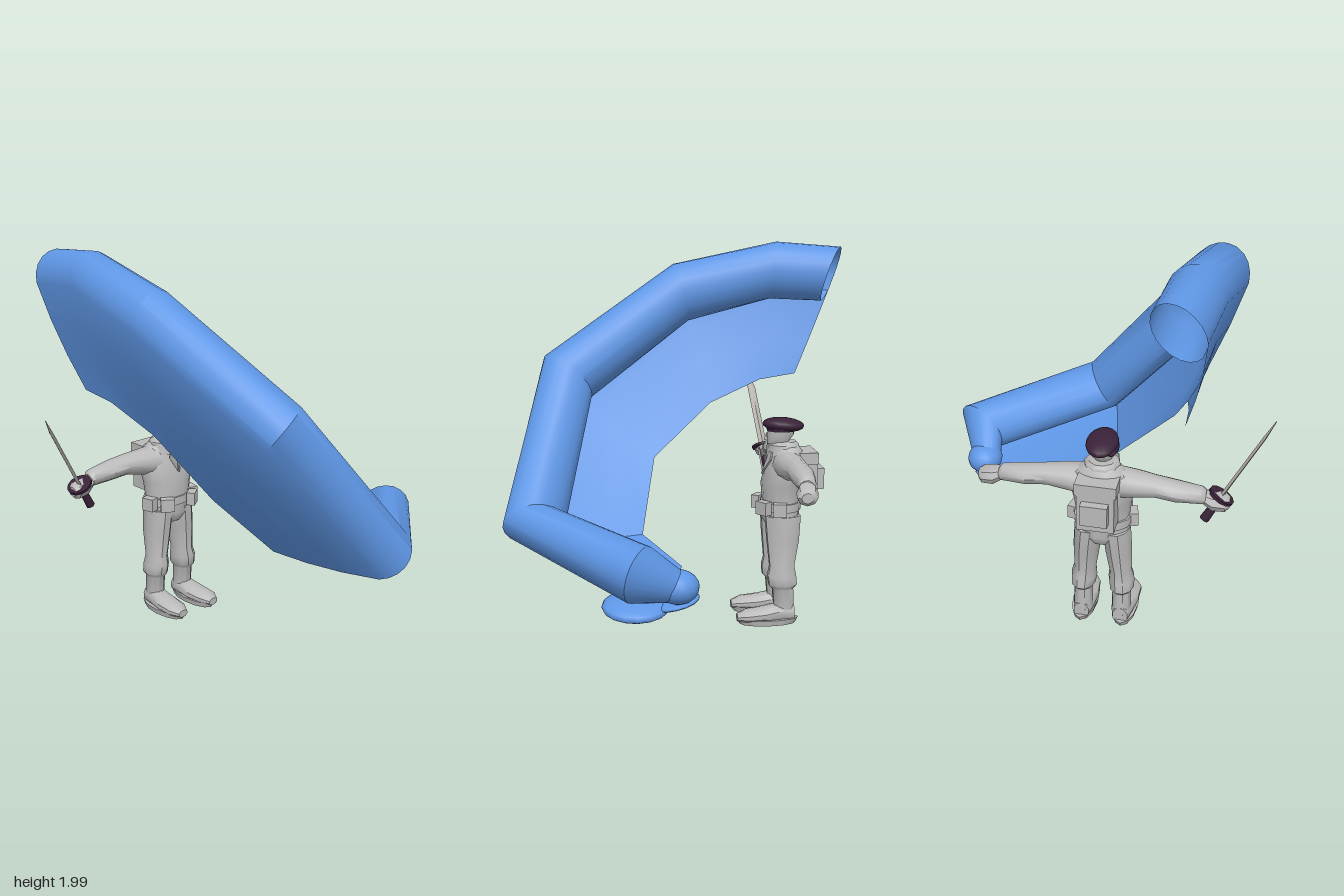
import * as THREE from 'three';
import { toCreasedNormals } from 'three/addons/utils/BufferGeometryUtils.js';

const V = (x, y, z) => new THREE.Vector3(x, y, z);
const mat = (name, color, side = THREE.FrontSide) => {
  const m = new THREE.MeshStandardMaterial({ color, side });
  m.name = name;
  return m;
};

// Surface through rows of points, all rows equally long
function skin(rows, crease = 0.7) {
  const n = rows[0].length, index = [];
  for (let i = 0; i < rows.length - 1; i++) {
    for (let j = 0; j < n - 1; j++) {
      const a = i * n + j, b = a + 1, c = a + n, d = c + 1;
      index.push(a, c, b, b, c, d);
    }
  }
  const geo = new THREE.BufferGeometry().setFromPoints(rows.flat());
  geo.setIndex(index);
  return toCreasedNormals(geo, crease);
}

// Oval rings [x, y, z, radiusA, radiusB] stacked along an axis, closed at both ends
function loft(axis, rings, sides = 10) {
  const list = rings.map((r) => [...r]);
  const k = 'xyz'.indexOf(axis);
  if (list[0][k] > list[list.length - 1][k]) list.reverse();
  const first = list[0], last = list[list.length - 1];
  const closed = [[...first.slice(0, 3), 0, 0], ...list, [...last.slice(0, 3), 0, 0]];
  return skin(closed.map(([x, y, z, p, q]) => Array.from({ length: sides + 1 }, (_, j) => {
    const t = ((j % sides) / sides) * Math.PI * 2, a = p * Math.cos(t), b = q * Math.sin(t);
    if (axis === 'y') return V(x + a, y, z + b);
    if (axis === 'x') return V(x, y + b, z + a);
    return V(x + b, y + a, z);
  })));
}

export function createModel() {
  const model = new THREE.Group();
  const blue = mat('waveBlue', 0x5f97e6, THREE.DoubleSide);
  const grey = mat('uniformGrey', 0xbababa);
  const purple = mat('darkPurple', 0x3a2239);
  const steel = mat('bladeGrey', 0xb4b0aa);

  const add = (parent, name, geo, material, pos = [0, 0, 0], scale = [1, 1, 1]) => {
    const mesh = new THREE.Mesh(geo, material);
    mesh.name = name;
    mesh.position.set(...pos);
    mesh.scale.set(...scale);
    parent.add(mesh);
    return mesh;
  };
  const ball = new THREE.SphereGeometry(1, 16, 10);

  // Curling wave: roll centre, sheet edge, roll radius
  const wave = new THREE.Group();
  wave.name = 'wave';
  model.add(wave);
  const stations = [
    [V(-0.49, 1.82, -0.86), V(-0.51, 1.27, -0.67), 0.155],
    [V(-0.52, 1.84, -0.54), V(-0.5, 1.24, -0.47), 0.155],
    [V(-0.565, 1.72, -0.035), V(-0.46, 1.12, -0.19), 0.16],
    [V(-0.38, 1.285, 0.59), V(-0.36, 0.84, 0.13), 0.165],
    [V(0.15, 0.62, 0.77), V(-0.03, 0.5, 0.22), 0.16],
    [V(0.76, 0.535, 0.29), V(0.28, 0.42, 0.05), 0.155],
    [V(0.69, 0.45, 0.12), V(0.44, 0.38, 0.08), 0.09],
  ];
  const rows = stations.map(([c, edge, r], i) => {
    const prev = stations[Math.max(i - 1, 0)][0];
    const next = stations[Math.min(i + 1, 5)][0];
    const along = i === 0 ? V(-0.35, 0.05, 0.9) : i === 6 ? V(0.6, -0.1, -0.5) : next.clone().sub(prev);
    const out = c.clone().sub(edge).normalize();
    const over = out.clone().cross(along).normalize();
    const row = [];
    for (let j = 0; j <= 18; j++) {
      const t = -Math.PI / 2 + (j / 18) * Math.PI * 1.8;
      row.push(c.clone().addScaledVector(out, r * Math.cos(t)).addScaledVector(over, r * 0.87 * Math.sin(t)));
    }
    // flat sheet from its free edge to the roll
    const sheet = [0, 0.33, 0.66].map((f) => edge.clone().lerp(row[0], f).addScaledVector(over, -0.015 * Math.sin(f * Math.PI)));
    return [...sheet, ...row];
  });
  add(wave, 'waveRoll', skin(rows, 0.6), blue);
  // Folded foam at the low end
  add(wave, 'rollTip', ball, blue, [0.69, 0.45, 0.11], [0.095, 0.08, 0.1]);
  add(wave, 'largeFold', ball, blue, [0.63, 0.345, 0.3], [0.16, 0.045, 0.16]).rotation.z = -0.12;
  add(wave, 'smallFold', ball, blue, [0.4, 0.385, 0.16], [0.12, 0.025, 0.1]).rotation.z = -0.12;
  add(wave, 'thinFold', ball, blue, [0.63, 0.36, 0.12], [0.12, 0.022, 0.12]).rotation.x = 0.2;

  // Figure, built about its own centre line
  const figure = new THREE.Group();
  figure.name = 'figure';
  figure.position.set(-0.11, 0, -0.52);
  model.add(figure);

  add(figure, 'torso', loft('y', [
    [0, 0.5, 0, 0.08, 0.07], [0, 0.55, 0, 0.14, 0.1], [0, 0.63, 0, 0.13, 0.095],
    [0, 0.74, 0, 0.145, 0.105], [0, 0.84, -0.02, 0.165, 0.1], [0, 0.91, -0.03, 0.13, 0.085],
    [0, 0.95, -0.02, 0.07, 0.065]], 14), grey);
  add(figure, 'belt', loft('y', [[0, 0.605, 0, 0.143, 0.106], [0, 0.65, 0, 0.143, 0.106]], 14), grey);
  add(figure, 'collar', loft('y', [
    [0, 0.89, -0.01, 0.1, 0.09], [0, 0.95, -0.01, 0.085, 0.085], [0, 0.965, -0.015, 0.065, 0.065]]), grey);

  // Head, nose and cap
  add(figure, 'head', loft('y', [
    [0, 0.92, 0, 0.035, 0.04], [0, 0.955, 0.02, 0.045, 0.055], [0, 1.0, 0.005, 0.06, 0.072],
    [0, 1.05, 0, 0.06, 0.07]], 12), grey);
  add(figure, 'nose', new THREE.ConeGeometry(0.013, 0.04, 4), grey, [0, 0.995, 0.08]);
  add(figure, 'cap', ball, purple, [0, 1.052, -0.01], [0.077, 0.038, 0.112]).rotation.x = -0.08;
  add(figure, 'capBand', loft('y', [[0, 1.02, 0, 0.064, 0.076], [0, 1.045, 0, 0.068, 0.082]], 14), purple);
  add(figure, 'capFlop', ball, purple, [-0.05, 1.035, -0.02], [0.032, 0.025, 0.07]);

  // Backpack
  add(figure, 'backpack', new THREE.BoxGeometry(0.18, 0.24, 0.1), grey, [0, 0.78, -0.13]);
  add(figure, 'backpackFlap', new THREE.BoxGeometry(0.2, 0.06, 0.12), grey, [0, 0.885, -0.12]);
  add(figure, 'backpackPocket', new THREE.BoxGeometry(0.13, 0.11, 0.05), grey, [0, 0.77, -0.195]);

  const lapelShape = new THREE.Shape([[0, 0], [0.065, 0.09], [0.06, 0.13], [0.03, 0.13]].map(([x, y]) => new THREE.Vector2(x, y)));
  for (const s of [1, -1]) {
    const side = s > 0 ? 'left' : 'right';
    // Trouser leg with bloused knee
    add(figure, side + 'Leg', loft('y', [
      [s * 0.098, 0.05, -0.01, 0.05, 0.055], [s * 0.098, 0.19, 0, 0.048, 0.058],
      [s * 0.098, 0.21, 0, 0.062, 0.078], [s * 0.095, 0.26, 0.005, 0.066, 0.078],
      [s * 0.09, 0.31, 0.005, 0.056, 0.068], [s * 0.08, 0.45, 0, 0.068, 0.088],
      [s * 0.068, 0.58, 0, 0.072, 0.098]]), grey);
    // Boot
    add(figure, side + 'Boot', loft('z', [
      [s * 0.1, 0.055, -0.06, 0.05, 0.04], [s * 0.1, 0.06, 0, 0.055, 0.055],
      [s * 0.105, 0.05, 0.1, 0.042, 0.065], [s * 0.11, 0.045, 0.19, 0.035, 0.06],
      [s * 0.11, 0.038, 0.245, 0.02, 0.03]]), grey);
    add(figure, side + 'Sole', loft('y', [
      [s * 0.105, 0, 0.08, 0.06, 0.15], [s * 0.105, 0.03, 0.08, 0.066, 0.165]], 12), grey);
    // Arm and fist
    add(figure, side + 'Arm', loft('x', [
      [s * 0.08, 0.85, -0.02, 0.085, 0.08], [s * 0.17, 0.855, -0.025, 0.075, 0.068],
      [s * 0.26, 0.86, -0.035, 0.06, 0.055], [s * 0.36, 0.85, -0.04, 0.062, 0.052],
      [s * 0.48, 0.84, -0.035, 0.046, 0.044], [s * 0.5, 0.83, -0.03, 0.036, 0.034]]), grey);
    add(figure, side + 'Hand', loft('x', [
      [s * 0.48, 0.83, -0.03, 0.034, 0.03], [s * 0.53, 0.81, -0.025, 0.055, 0.046],
      [s * 0.59, 0.8, -0.015, 0.052, 0.042], [s * 0.61, 0.8, -0.01, 0.03, 0.026]], 8), grey);
    // Belt pouches
    for (const [a, w] of [[0.62, 0.075], [1.35, 0.07]]) {
      const p = add(figure, side + 'Pouch', new THREE.BoxGeometry(w, 0.07, 0.045), grey,
        [s * 0.15 * Math.sin(a), 0.625, 0.13 * Math.cos(a)]);
      p.rotation.y = s * a;
    }
    // Jacket lapel
    const lapel = add(figure, side + 'Lapel', new THREE.ExtrudeGeometry(lapelShape, { depth: 0.009, bevelEnabled: false }),
      grey, [0, 0.79, 0.098]);
    lapel.rotation.set(-0.22, s > 0 ? 0.25 : Math.PI - 0.25, 0);
    if (s < 0) { lapel.rotation.set(0.22, Math.PI - 0.25, 0); }
  }

  // Sword in the right hand
  const sword = new THREE.Group();
  sword.name = 'sword';
  sword.position.set(-0.67, 0.815, -0.53);
  sword.quaternion.setFromUnitVectors(V(0, 1, 0), V(-0.23, 0.415, 0.055).normalize());
  model.add(sword);
  add(sword, 'handle', new THREE.CylinderGeometry(0.018, 0.024, 0.15, 8), purple, [0, -0.06, 0]);
  add(sword, 'guard', new THREE.CylinderGeometry(0.065, 0.065, 0.014, 12), purple, [0, 0.015, 0]);
  add(sword, 'blade', loft('y', [
    [0, 0.02, 0, 0.009, 0.022], [0, 0.38, 0, 0.008, 0.022], [0, 0.475, 0.008, 0.002, 0.002]], 4), steel);
  return model;
}
